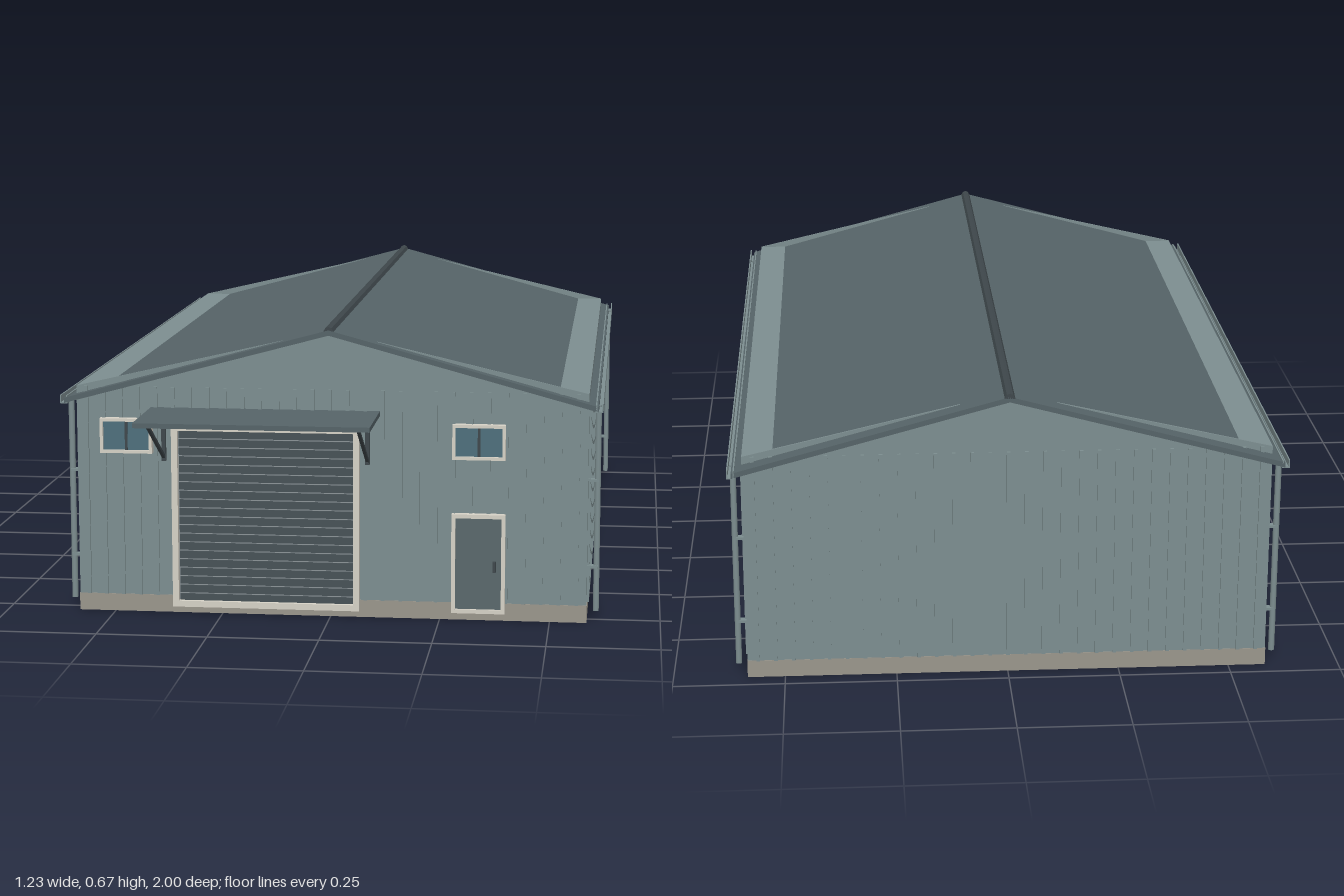
import * as THREE from 'three';

const mat = (color) => new THREE.MeshStandardMaterial({ color });
const M = {
  wall: mat(0x7d8e90), roof: mat(0x566468), dark: mat(0x3f484c), slat: mat(0x485257),
  plinth: mat(0x9a968c), frame: mat(0xd6d2c6), glass: mat(0x4f6f7c), door: mat(0x5a686c), seam: mat(0x8c9498),
};

// Building envelope
const W = 0.583, FRONT = 0.785, BACK = -0.96, WALL_TOP = 0.525, BASE = 0.04;
const ROOF_FRONT = 0.815, ROOF_BACK = -1, RIDGE = 0.664, EAVE_X = 0.605, EAVE_Y = 0.501;

// Box given by its minimum and maximum corners
function box(parent, name, material, x0, x1, y0, y1, z0, z1) {
  const mesh = new THREE.Mesh(new THREE.BoxGeometry(x1 - x0, y1 - y0, z1 - z0), material);
  mesh.position.set((x0 + x1) / 2, (y0 + y1) / 2, (z0 + z1) / 2);
  mesh.name = name;
  parent.add(mesh);
  return mesh;
}

// Outline in x and y, extruded from z0 to z1
function prism(parent, name, material, points, z0, z1) {
  const shape = new THREE.Shape(points.map(([x, y]) => new THREE.Vector2(x, y)));
  const geometry = new THREE.ExtrudeGeometry(shape, { depth: z1 - z0, bevelEnabled: false });
  const mesh = new THREE.Mesh(geometry, material);
  mesh.position.z = z0;
  mesh.name = name;
  parent.add(mesh);
  return mesh;
}

// Rectangular frame on the front wall
function frame(parent, name, x0, x1, y0, y1, t, depth) {
  const shape = new THREE.Shape([[x0, y0], [x1, y0], [x1, y1], [x0, y1]].map((p) => new THREE.Vector2(...p)));
  shape.holes.push(new THREE.Path(
    [[x0 + t, y0 + t], [x0 + t, y1 - t], [x1 - t, y1 - t], [x1 - t, y0 + t]].map((p) => new THREE.Vector2(...p))));
  const mesh = new THREE.Mesh(new THREE.ExtrudeGeometry(shape, { depth, bevelEnabled: false }), M.frame);
  mesh.position.z = FRONT;
  mesh.name = name;
  parent.add(mesh);
}

function group(parent, name) {
  const g = new THREE.Group();
  g.name = name;
  parent.add(g);
  return g;
}

// Square bar between two points
function bar(parent, name, material, a, b, size) {
  const from = new THREE.Vector3(...a), to = new THREE.Vector3(...b);
  const mesh = new THREE.Mesh(new THREE.BoxGeometry(size, size, from.distanceTo(to)), material);
  mesh.position.copy(from).add(to).multiplyScalar(0.5);
  mesh.lookAt(to);
  mesh.name = name;
  parent.add(mesh);
}

function buildWalls(root) {
  const g = group(root, 'walls');
  box(g, 'plinth', M.plinth, -W - 0.001, W + 0.001, 0, BASE, BACK - 0.001, FRONT + 0.001);
  box(g, 'wallBody', M.wall, -W, W, BASE, WALL_TOP, BACK, FRONT);

  // Gable ends
  const gable = [[-W, WALL_TOP], [W, WALL_TOP], [0, 0.66]];
  prism(g, 'frontGable', M.wall, gable, FRONT - 0.004, FRONT);
  prism(g, 'backGable', M.wall, gable, BACK, BACK + 0.004);

  // Cladding ribs on all four walls
  const ribs = group(g, 'claddingRibs');
  const h = 0.004, d = 0.005;
  for (let i = -14; i <= 14; i++) {
    const x = i * 0.04;
    box(ribs, 'frontRib', M.wall, x - h, x + h, BASE, WALL_TOP, FRONT, FRONT + d);
    box(ribs, 'backRib', M.wall, x - h, x + h, BASE, WALL_TOP, BACK - d, BACK);
  }
  for (let i = 1; i < 44; i++) {
    const z = BACK + (FRONT - BACK) * i / 44;
    box(ribs, 'leftRib', M.wall, W, W + d, BASE, 0.505, z - h, z + h);
    box(ribs, 'rightRib', M.wall, -W - d, -W, BASE, 0.505, z - h, z + h);
  }
}

function buildRoof(root) {
  const g = group(root, 'roof');
  const t = 0.012;
  prism(g, 'roofSheets', M.roof, [
    [-EAVE_X, EAVE_Y], [-EAVE_X, EAVE_Y - t], [0, RIDGE - t],
    [EAVE_X, EAVE_Y - t], [EAVE_X, EAVE_Y], [0, RIDGE],
  ], ROOF_BACK, ROOF_FRONT);
  prism(g, 'ridgeCap', M.dark, [
    [-0.012, 0.66], [0.012, 0.66], [0.007, 0.669], [0, 0.672], [-0.007, 0.669],
  ], ROOF_BACK, ROOF_FRONT);

  for (const s of [-1, 1]) {
    // Open gutter along each eave
    const u = [[0.598, 0.506], [0.598, 0.488], [0.615, 0.488], [0.615, 0.507],
      [0.612, 0.507], [0.612, 0.491], [0.601, 0.491], [0.601, 0.506]];
    prism(g, 'gutter', M.wall, u.map(([x, y]) => [s * x, y]), ROOF_BACK, ROOF_FRONT);
    // Downpipes near the corners
    for (const z of [0.747, -0.925]) {
      const pipe = new THREE.Mesh(new THREE.CylinderGeometry(0.007, 0.007, 0.475, 10), M.wall);
      pipe.position.set(s * 0.604, 0.2575, z);
      pipe.name = 'downpipe';
      g.add(pipe);
      for (const y of [0.12, 0.32]) {
        box(g, 'pipeBracket', M.wall, s * 0.595 - 0.012, s * 0.595 + 0.012, y, y + 0.006, z - 0.008, z + 0.008);
      }
    }
  }
}

function buildRollerDoor(root) {
  const g = group(root, 'rollerDoor');
  const x0 = -0.346, x1 = 0.054, y0 = 0.03, y1 = 0.43, n = 20;
  frame(g, 'rollerDoorFrame', x0 - 0.016, x1 + 0.014, 0.018, 0.442, 0.014, 0.022);
  box(g, 'rollerDoorPanel', M.seam, x0 - 0.002, x1 + 0.002, y0, y1, FRONT, FRONT + 0.008);
  const step = (y1 - y0) / n;
  for (let i = 0; i < n; i++) {
    const y = y0 + i * step;
    box(g, 'rollerSlat', M.slat, x0, x1, y, y + step - 0.003, FRONT, FRONT + 0.012);
  }
}

function buildCanopy(root) {
  const g = group(root, 'canopy');
  box(g, 'canopySheet', M.roof, -0.411, 0.113, 0.467, 0.478, FRONT, 1);
  for (const x of [-0.382, 0.085]) {
    bar(g, 'canopyBrace', M.dark, [x, 0.364, FRONT + 0.004], [x, 0.468, 0.975], 0.007);
    box(g, 'braceWallPlate', M.dark, x - 0.005, x + 0.005, 0.355, 0.467, FRONT, FRONT + 0.007);
  }
}

function buildWindow(root, name, cx) {
  const g = group(root, name);
  const x0 = cx - 0.06, x1 = cx + 0.06;
  frame(g, 'windowFrame', x0, x1, 0.373, 0.453, 0.007, 0.018);
  box(g, 'glass', M.glass, x0 + 0.006, x1 - 0.006, 0.379, 0.447, FRONT, FRONT + 0.011);
  box(g, 'mullion', M.dark, cx - 0.003, cx + 0.003, 0.379, 0.447, FRONT, FRONT + 0.014);
}

function buildSideDoor(root) {
  const g = group(root, 'entranceDoor');
  frame(g, 'doorFrame', 0.277, 0.399, 0.019, 0.248, 0.009, 0.018);
  box(g, 'doorLeaf', M.door, 0.285, 0.391, 0.027, 0.24, FRONT, FRONT + 0.012);
  box(g, 'doorHandle', M.dark, 0.371, 0.378, 0.115, 0.14, FRONT, FRONT + 0.02);
}

export function createModel() {
  const root = new THREE.Group();
  root.name = 'warehouse';
  buildWalls(root);
  buildRoof(root);
  buildRollerDoor(root);
  buildCanopy(root);
  buildWindow(root, 'rightWindow', -0.467);
  buildWindow(root, 'leftWindow', 0.338);
  buildSideDoor(root);
  return root;
}
